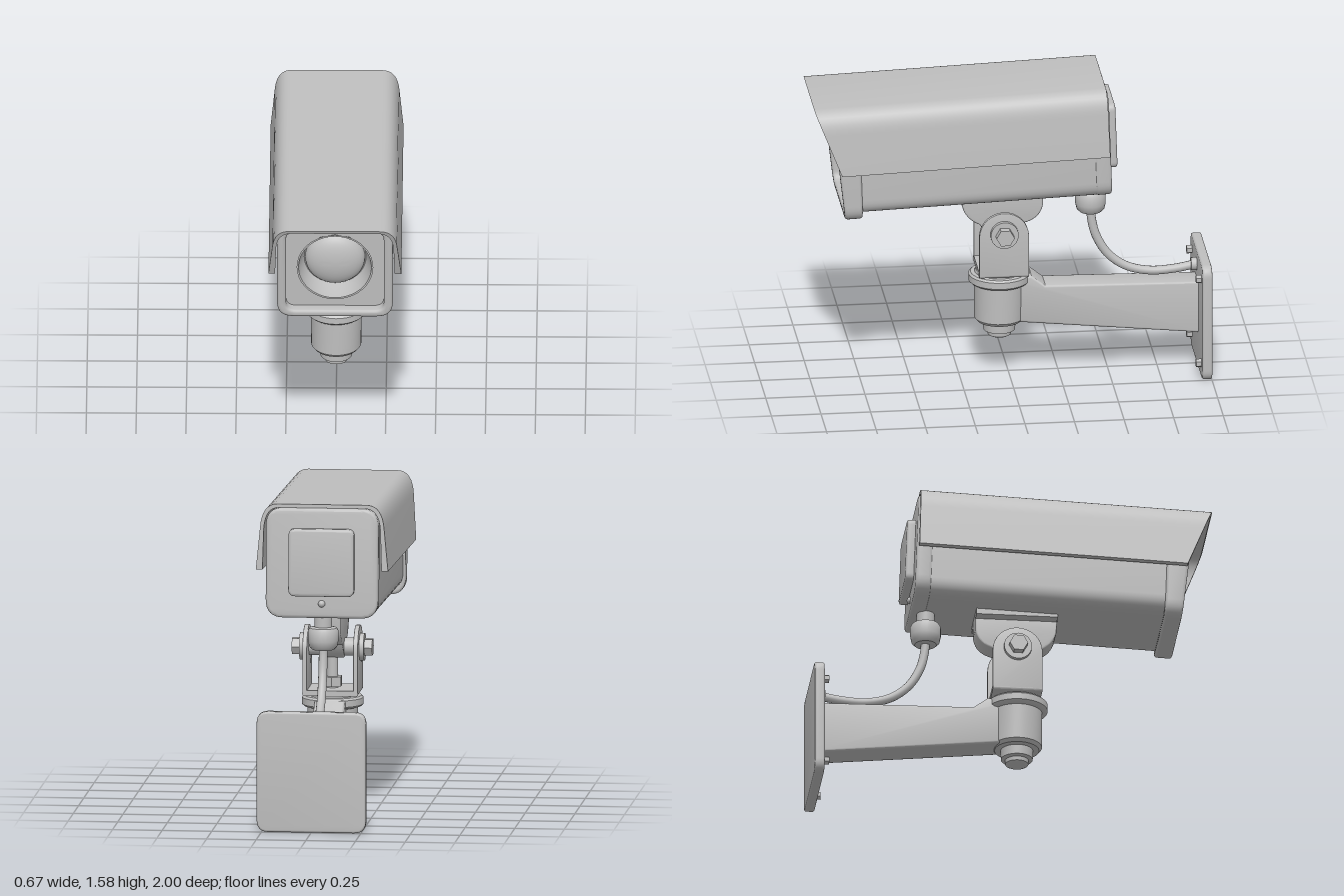
import * as THREE from 'three';
import { toCreasedNormals } from 'three/addons/utils/BufferGeometryUtils.js';

const grey = new THREE.MeshStandardMaterial({ color: 0xbfbfbf, side: THREE.DoubleSide });
grey.name = 'light grey';

function add(parent, name, geometry, x = 0, y = 0, z = 0) {
  const mesh = new THREE.Mesh(geometry, grey);
  mesh.name = name;
  mesh.position.set(x, y, z);
  parent.add(mesh);
  return mesh;
}

// Rounded rectangle outline
function roundRect(x0, y0, x1, y1, r, Type = THREE.Shape) {
  const s = new Type();
  s.moveTo(x0 + r, y0);
  s.lineTo(x1 - r, y0); s.quadraticCurveTo(x1, y0, x1, y0 + r);
  s.lineTo(x1, y1 - r); s.quadraticCurveTo(x1, y1, x1 - r, y1);
  s.lineTo(x0 + r, y1); s.quadraticCurveTo(x0, y1, x0, y1 - r);
  s.lineTo(x0, y0 + r); s.quadraticCurveTo(x0, y0, x0 + r, y0);
  return s;
}

// Extrude from z0 to z1 with an inward bevel
function slab(shape, z0, z1, bevel = 0) {
  const g = new THREE.ExtrudeGeometry(shape, {
    depth: z1 - z0 - 2 * bevel, curveSegments: 8, bevelEnabled: bevel > 0,
    bevelThickness: bevel, bevelSize: bevel, bevelOffset: -bevel, bevelSegments: 3,
  });
  g.translate(0, 0, z0 + bevel);
  return g;
}

// Side profile drawn as (z, y), extruded across x
const sideSlab = (shape, halfWidth, bevel = 0) =>
  toCreasedNormals(slab(shape, -halfWidth, halfWidth, bevel).rotateY(-Math.PI / 2), 0.6);

// Move each vertex's z by a rule
function bendZ(g, rule) {
  const p = g.attributes.position;
  for (let i = 0; i < p.count; i++) p.setZ(i, rule(p.getY(i), p.getZ(i)));
  return toCreasedNormals(g, 0.6);
}

const lathe = (pts, n = 32) => toCreasedNormals(
  new THREE.LatheGeometry(pts.map(([r, y]) => new THREE.Vector2(r, y)), n), 0.6);

function buildHousing() {
  const head = new THREE.Group();
  head.name = 'cameraHead';
  head.position.y = 1.25;
  head.rotation.x = 0.035;

  // Main body with a bore for the lens, and its rear cap
  const body = roundRect(-0.278, -0.255, 0.278, 0.285, 0.08);
  body.holes.push(new THREE.Path().absarc(0, -0.01, 0.185, 0, Math.PI * 2, true));
  add(head, 'body', toCreasedNormals(slab(body, -0.41, 0.81), 0.6));
  add(head, 'rearCap', toCreasedNormals(
    slab(roundRect(-0.283, -0.258, 0.283, 0.296, 0.09), -0.487, -0.405, 0.015), 0.6));

  // Front frame, leaning forward at the top
  const frame = roundRect(-0.29, -0.287, 0.29, 0.287, 0.085);
  frame.holes.push(roundRect(-0.245, -0.248, 0.245, 0.243, 0.05, THREE.Path));
  add(head, 'frontFrame', bendZ(slab(frame, 0.772, 0.883, 0.014),
    (y, z) => (z > 0.83 ? z + 0.08 * y : z)));

  // Recessed lens barrel and dome
  const lens = [[0.192, 0.825], [0.183, 0.825], [0.176, 0.79], [0.155, 0.73]];
  for (let i = 0; i <= 8; i++) {
    const a = (i / 8) * Math.PI / 2;
    lens.push([0.15 * Math.cos(a), 0.73 + 0.07 * Math.sin(a)]);
  }
  add(head, 'lens', lathe(lens, 40).rotateX(Math.PI / 2), 0, -0.01, 0);

  // Sunshield: thin arch with a slanted front edge
  const hood = new THREE.Shape();
  hood.moveTo(0.333, -0.018);
  hood.lineTo(0.312, 0.2);
  hood.bezierCurveTo(0.306, 0.27, 0.28, 0.315, 0.225, 0.315);
  hood.lineTo(-0.225, 0.315);
  hood.bezierCurveTo(-0.28, 0.315, -0.306, 0.27, -0.312, 0.2);
  hood.lineTo(-0.333, -0.018);
  hood.lineTo(-0.3, -0.018);
  hood.lineTo(-0.294, 0.19);
  hood.bezierCurveTo(-0.288, 0.26, -0.265, 0.297, -0.215, 0.297);
  hood.lineTo(0.215, 0.297);
  hood.bezierCurveTo(0.265, 0.297, 0.288, 0.26, 0.294, 0.19);
  hood.lineTo(0.3, -0.018);
  add(head, 'sunshield', bendZ(slab(hood, 0, 1),
    (y, z) => (z > 0.5 ? 0.874 + 0.36 * (y + 0.018) : -0.478)));

  // Rear access panel
  const panel = slab(roundRect(-0.165, -0.145, 0.165, 0.195, 0.035), -0.53, -0.48, 0.012);
  add(head, 'rearPanel', toCreasedNormals(panel, 0.6));
  add(head, 'rearScrew', new THREE.SphereGeometry(0.018, 12, 8), 0, -0.185, -0.486);
  return head;
}

function buildSwivel() {
  const swivel = new THREE.Group();
  swivel.name = 'swivelJoint';
  const zc = 0.035, pinY = 0.785;

  // Curved tab under the body
  const tab = new THREE.Shape();
  tab.moveTo(0.245, 1.0);
  tab.lineTo(0.238, 0.91);
  tab.quadraticCurveTo(0.22, 0.84, 0.15, 0.81);
  tab.quadraticCurveTo(0.1, 0.73, zc, 0.73);
  tab.quadraticCurveTo(-0.03, 0.73, -0.07, 0.81);
  tab.quadraticCurveTo(-0.16, 0.83, -0.17, 0.91);
  tab.lineTo(-0.17, 1.02);
  add(swivel, 'mountTab', sideSlab(tab, 0.062, 0.008));
  add(swivel, 'mountFoot', new THREE.BoxGeometry(0.24, 0.03, 0.41), 0, 0.986, zc);

  // U-shaped yoke
  const arm = new THREE.Shape();
  arm.moveTo(zc - 0.125, 0.56);
  arm.lineTo(zc + 0.125, 0.56);
  arm.lineTo(zc + 0.125, 0.77);
  arm.absarc(zc, 0.77, 0.125, 0, Math.PI, false);
  for (const s of [-1, 1]) {
    add(swivel, 'yokeArm', sideSlab(arm, 0.012, 0.003), s * 0.128, 0, 0);
    add(swivel, 'pivotWasher', new THREE.CylinderGeometry(0.07, 0.07, 0.025, 28).rotateZ(Math.PI / 2),
      s * 0.15, pinY, zc);
    add(swivel, 'pivotNut', toCreasedNormals(
      new THREE.CylinderGeometry(0.046, 0.046, 0.045, 6).rotateZ(Math.PI / 2), 0.6), s * 0.18, pinY, zc);
  }
  add(swivel, 'yokeBase', toCreasedNormals(
    slab(roundRect(-0.14, 0.55, 0.14, 0.578, 0.013), zc - 0.125, zc + 0.125), 0.6));
  add(swivel, 'pivotPin', new THREE.CylinderGeometry(0.045, 0.045, 0.26, 20).rotateZ(Math.PI / 2),
    0, pinY, zc);

  // Vertical bolt and nut inside the yoke
  add(swivel, 'swivelBolt', new THREE.CylinderGeometry(0.028, 0.028, 0.18, 16), 0, 0.65, zc);
  add(swivel, 'swivelNut', toCreasedNormals(new THREE.CylinderGeometry(0.052, 0.052, 0.05, 6), 0.6),
    0, 0.61, zc);
  return swivel;
}

function buildWallBracket() {
  const bracket = new THREE.Group();
  bracket.name = 'wallBracket';

  // Socket with collar and lower bolt
  add(bracket, 'socket', lathe([
    [0, 0.555], [0.12, 0.555], [0.125, 0.54], [0.145, 0.538], [0.155, 0.528], [0.155, 0.495],
    [0.145, 0.485], [0.128, 0.48], [0.126, 0.295], [0.112, 0.278], [0.082, 0.276], [0.08, 0.228],
    [0.06, 0.222], [0.058, 0.202], [0.045, 0.195], [0, 0.195],
  ]), 0, 0, 0.045);

  // Tapered arm with a raised gusset at the socket
  const arm = new THREE.Shape();
  [[0.04, 0.29], [0.04, 0.53], [-0.11, 0.53], [-0.18, 0.476], [-0.96, 0.463], [-0.96, 0.19], [-0.06, 0.283]]
    .forEach(([z, y], i) => (i ? arm.lineTo(z, y) : arm.moveTo(z, y)));
  add(bracket, 'arm', sideSlab(arm, 0.077, 0.012));

  // Wall plate and corner screws
  add(bracket, 'wallPlate', toCreasedNormals(
    slab(roundRect(-0.275, 0, 0.275, 0.61, 0.06), -1, -0.95, 0.01), 0.6));
  for (const x of [-0.21, 0.21]) for (const y of [0.08, 0.53]) {
    add(bracket, 'plateScrew', toCreasedNormals(
      new THREE.CylinderGeometry(0.022, 0.022, 0.03, 6).rotateX(Math.PI / 2), 0.6), x, y, -0.938);
  }
  return bracket;
}

function buildCable() {
  const cable = new THREE.Group();
  cable.name = 'cableAssembly';
  add(cable, 'cableGland', lathe([
    [0, 1.02], [0.045, 1.02], [0.045, 0.955], [0.068, 0.95], [0.077, 0.935], [0.077, 0.885],
    [0.07, 0.855], [0.055, 0.84], [0, 0.838],
  ], 24), 0, 0, -0.415);
  const path = new THREE.CatmullRomCurve3([
    [0.86, -0.415], [0.8, -0.42], [0.71, -0.442], [0.61, -0.5], [0.54, -0.59], [0.508, -0.71],
    [0.513, -0.84], [0.535, -0.96],
  ].map(([y, z]) => new THREE.Vector3(0, y, z)));
  add(cable, 'cable', new THREE.TubeGeometry(path, 40, 0.022, 12));
  add(cable, 'cableInlet', new THREE.CylinderGeometry(0.032, 0.032, 0.035, 16).rotateX(Math.PI / 2),
    0, 0.533, -0.938);
  return cable;
}

export function createModel() {
  const model = new THREE.Group();
  model.name = 'securityCamera';
  model.add(buildHousing(), buildSwivel(), buildWallBracket(), buildCable());
  return model;
}
